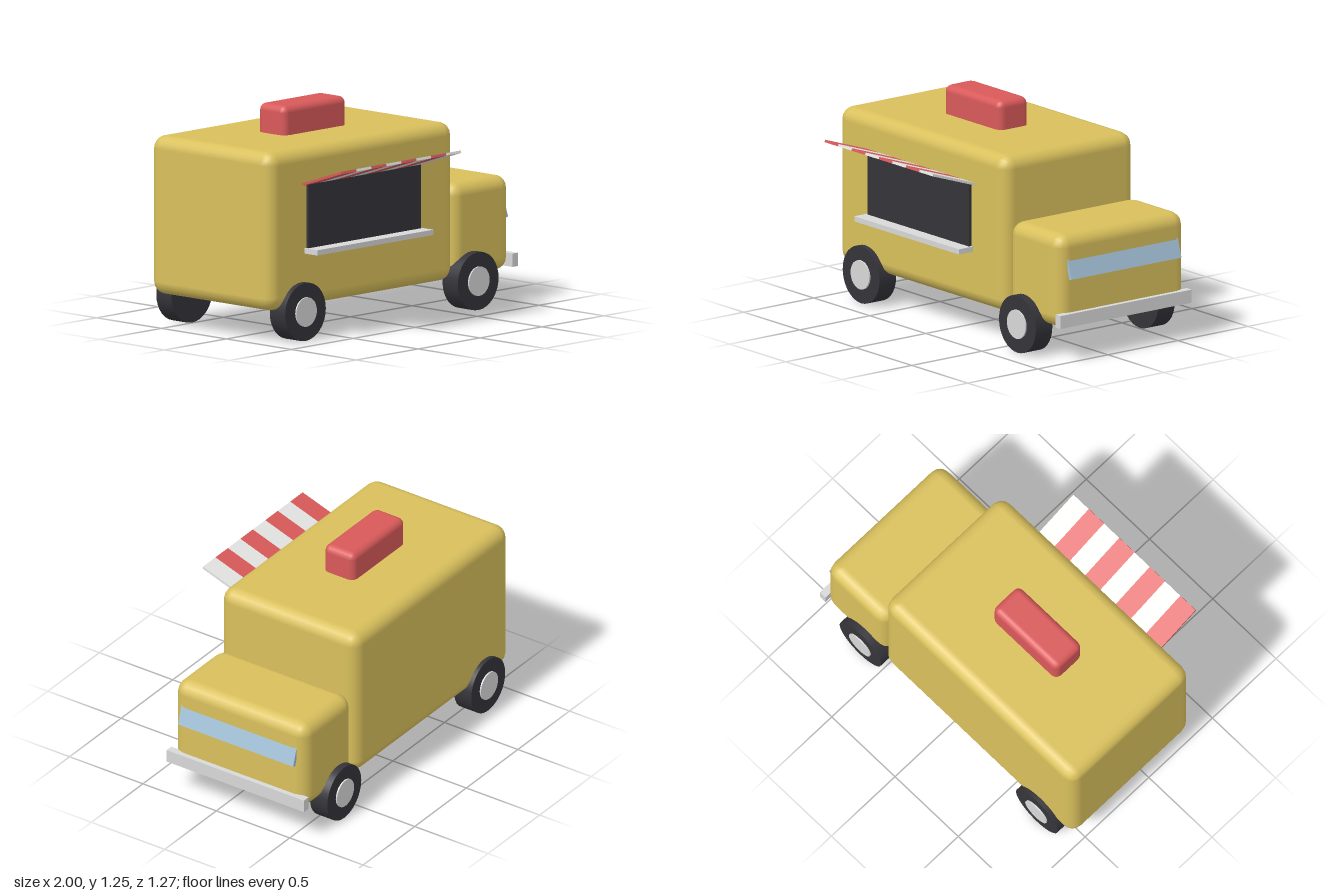
import * as THREE from 'three';
import { RoundedBoxGeometry } from 'three/addons/geometries/RoundedBoxGeometry.js';

function material(name, color) {
  const m = new THREE.MeshStandardMaterial({ color });
  m.name = name;
  return m;
}

export function createModel() {
  const model = new THREE.Group();
  model.name = 'foodTruck';

  const yellow = material('yellow paint', 0xd9c05c);
  const red = material('red', 0xd9595a);
  const white = material('white', 0xe4e4e2);
  const metal = material('metal', 0xd8d8d8);
  const dark = material('dark', 0x34343a);
  const glass = material('glass', 0xa3c2d8);

  function add(name, geometry, mat, parent = model) {
    const mesh = new THREE.Mesh(geometry, mat);
    mesh.name = name;
    parent.add(mesh);
    return mesh;
  }

  // Box given by its limits along x, y and z; rounded when a radius is given
  function box(name, mat, [x0, x1], [y0, y1], [z0, z1], radius = 0) {
    const size = [x1 - x0, y1 - y0, z1 - z0];
    const geometry = radius
      ? new RoundedBoxGeometry(...size, 2, radius)
      : new THREE.BoxGeometry(...size);
    const mesh = add(name, geometry, mat);
    mesh.position.set((x0 + x1) / 2, (y0 + y1) / 2, (z0 + z1) / 2);
    return mesh;
  }

  // Bodywork
  box('body', yellow, [-1, 0.5], [0.185, 1.085], [-0.6, 0.335], 0.075);
  box('cab', yellow, [0.5, 0.97], [0.185, 0.725], [-0.585, 0.318], 0.075);
  box('roofVent', red, [-0.505, 0.005], [1.03, 1.25], [-0.235, -0.025], 0.04);
  box('bumper', metal, [0.955, 1], [0.205, 0.28], [-0.597, 0.338]);

  // Leaning windscreen
  const windscreen = add('windscreen', new THREE.BoxGeometry(0.02, 0.24, 0.785), glass);
  windscreen.position.set(0.956, 0.588, -0.132);
  windscreen.rotation.z = 0.3;

  // Serving hatch and counter
  box('servingHatch', dark, [-0.705, 0.2], [0.5, 0.88], [0.32, 0.353]);
  box('counter', metal, [-0.72, 0.215], [0.49, 0.52], [0.325, 0.435]);

  // Striped awning, hinged at the wall and raised outwards
  const awning = new THREE.Group();
  awning.name = 'awning';
  awning.position.set(-0.252, 0.932, 0.482);
  awning.rotation.x = -0.325;
  model.add(awning);
  const stripes = 8, width = 0.966 / stripes;
  for (let i = 0; i < stripes; i++) {
    const stripe = add('awningStripe', new THREE.BoxGeometry(width, 0.014, 0.32),
      i % 2 ? white : red, awning);
    stripe.position.x = (i - (stripes - 1) / 2) * width;
  }

  // Wheels with hubcaps on the outer side
  const tyreGeometry = new THREE.CylinderGeometry(0.1645, 0.1645, 0.118, 32).rotateX(Math.PI / 2);
  const hubGeometry = new THREE.CylinderGeometry(0.083, 0.083, 0.03, 32).rotateX(Math.PI / 2);
  for (const x of [-0.745, 0.65]) {
    for (const side of [1, -1]) {
      const wheel = new THREE.Group();
      wheel.name = 'wheel';
      wheel.position.set(x, 0.1665, -0.13 + side * 0.437);
      add('tyre', tyreGeometry, dark, wheel);
      add('hubcap', hubGeometry, metal, wheel).position.z = side * 0.053;
      model.add(wheel);
    }
  }

  return model;
}
